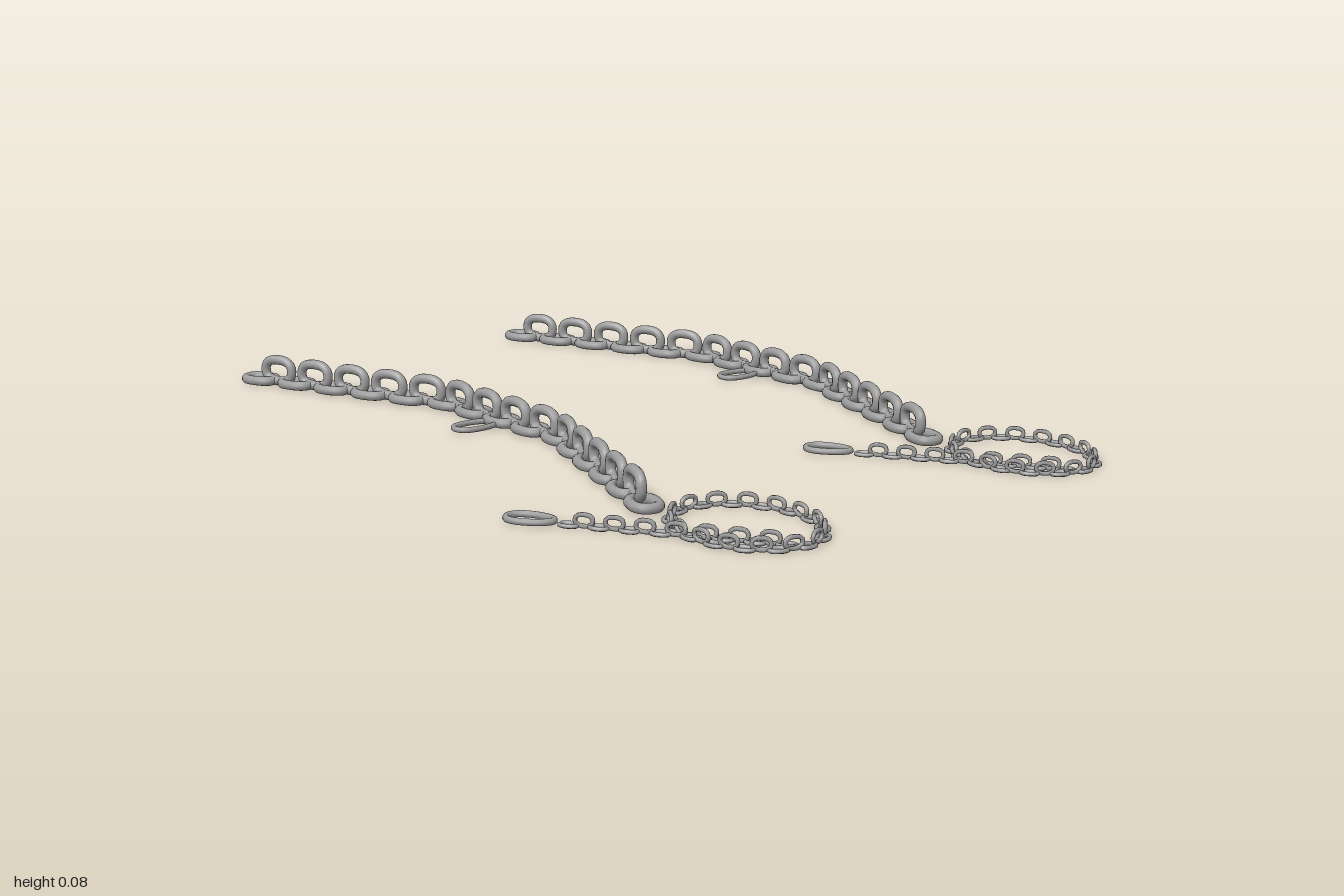
import * as THREE from 'three';

const steel = new THREE.MeshStandardMaterial({ color: 0x9c9c9c });
steel.name = 'steel';

// Closed wire loop lying flat, long axis on x; taper narrows the +x end
function loopGeometry(length, width, r, power = 0.8, taper = 0, segs = 28, sides = 10) {
  const bend = (v) => Math.sign(v) * Math.pow(Math.abs(v), power);
  const pts = [];
  for (let i = 0; i < 20; i++) {
    const t = (i / 20) * Math.PI * 2;
    pts.push(new THREE.Vector3(
      (length / 2 - r) * bend(Math.cos(t)),
      0,
      (width / 2 - r) * bend(Math.sin(t)) * (1 - taper * Math.cos(t))
    ));
  }
  return new THREE.TubeGeometry(new THREE.CatmullRomCurve3(pts, true), segs, r, sides, true);
}

function addLoop(parent, name, geometry, x, y, z, yaw, upright = false) {
  const mesh = new THREE.Mesh(geometry, steel);
  mesh.name = name;
  mesh.position.set(x, y, z);
  mesh.rotation.set(upright ? Math.PI / 2 : 0, yaw, 0, 'YXZ');
  parent.add(mesh);
}

// Links centred on successive [x, z] points, flat and upright in turn
function addChain(parent, name, pts, geometry, r, width, closed = false) {
  const chain = new THREE.Group();
  chain.name = name;
  const n = pts.length;
  pts.forEach(([x, z], i) => {
    const a = pts[closed ? (i + n - 1) % n : Math.max(i - 1, 0)];
    const b = pts[closed ? (i + 1) % n : Math.min(i + 1, n - 1)];
    const yaw = Math.atan2(a[1] - b[1], b[0] - a[0]);
    const upright = i % 2 === 1;
    addLoop(chain, upright ? 'uprightLink' : 'flatLink', geometry,
      x, upright ? width / 2 : r, z, yaw, upright);
  });
  parent.add(chain);
}

// Evenly spaced points from a to b, without b
function span(a, b, n) {
  return Array.from({ length: n }, (_, i) => [
    a[0] + ((b[0] - a[0]) * i) / n,
    a[1] + ((b[1] - a[1]) * i) / n,
  ]);
}

export function createModel() {
  const model = new THREE.Group();
  model.name = 'chainPair';

  const bigLink = loopGeometry(0.107, 0.08, 0.0122);
  const smallLink = loopGeometry(0.048, 0.034, 0.005, 0.8, 0, 16, 6);
  const pendantLoop = loopGeometry(0.13, 0.076, 0.007, 0.9, 0.12);
  const endLoop = loopGeometry(0.118, 0.07, 0.0075, 0.95, 0.2);

  // Heavy chain: sloping, level, sloping
  const L = [-0.947, -0.452], A = [-0.41, -0.66], B = [0.037, -0.66], R = [0.575, -0.452];
  const heavyPath = [...span(L, A, 10), ...span(A, B, 8), ...span(B, R, 10), R];

  // Fine chain: closed oval and a straight tail crossing it
  const oval = new THREE.EllipseCurve(0.812, -0.518, 0.172, 0.138, 0, Math.PI * 2);
  const ovalPath = oval.getSpacedPoints(30).slice(0, 30).map((p) => [p.x, p.y]);
  const tailPath = span([0.575, -0.252], [0.982, -0.508], 15);

  for (const dz of [0, 0.86]) {
    const set = new THREE.Group();
    set.name = dz ? 'frontChainSet' : 'backChainSet';
    set.position.z = dz;
    addChain(set, 'heavyChain', heavyPath, bigLink, 0.0122, 0.08);
    addChain(set, 'fineChainLoop', ovalPath, smallLink, 0.005, 0.034, true);
    addChain(set, 'fineChainTail', tailPath, smallLink, 0.005, 0.034);
    addLoop(set, 'pendantLoop', pendantLoop, -0.19, 0.01, -0.585, Math.PI / 2);
    addLoop(set, 'endLoop', endLoop, 0.503, 0.01, -0.21, 0.54);
    model.add(set);
  }
  return model;
}
